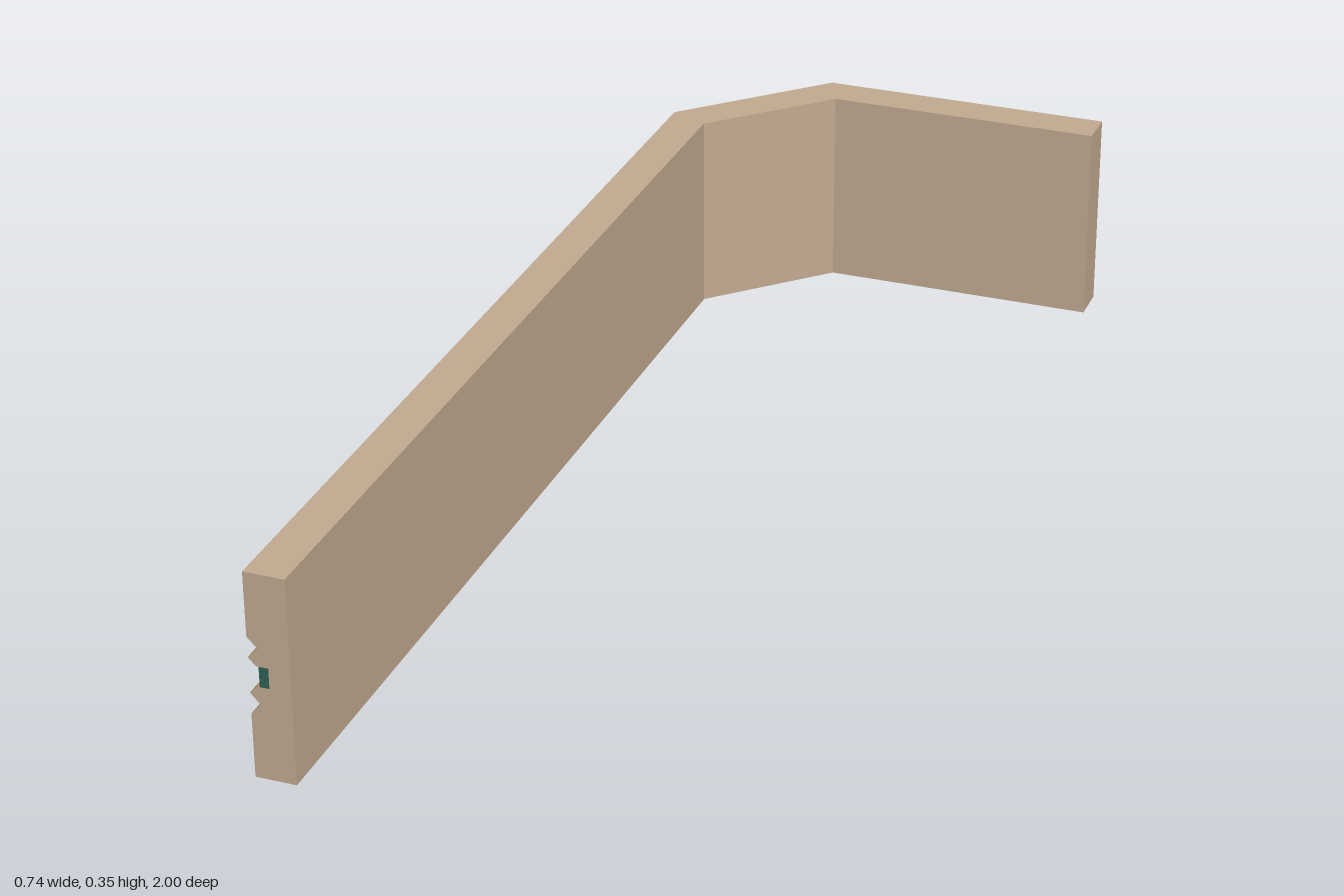
import * as THREE from 'three';

const TAN = 0xc3ab91, OCHRE = 0xc29c6c, TEAL = 0x2f6355;
const THICK = 0.069, HEIGHT = 0.353;
const END_X = 0.19; // the groove stops behind the medallion

// Plan path: outer and inner corner of the wall at each station, as [x, z]
const path = [
  { out: [-0.37, 1], inn: [-0.302, 1] },
  { out: [-0.37, -0.76], inn: [-0.302, -0.73] },
  { out: [-0.145, -0.987], inn: [-0.115, -0.918] },
  { out: [END_X, -0.987], inn: [END_X, -0.918] },
];

// A profile point is [depth from the outer face, height]
function place([d, y], { out, inn }) {
  const t = d / THICK;
  return [out[0] + (inn[0] - out[0]) * t, y, out[1] + (inn[1] - out[1]) * t];
}

// Sweep a profile along the path; cap is an optional outline closing the front end
function sweep(name, color, profiles, cap) {
  const pos = [];
  for (const prof of profiles) {
    for (let i = 0; i < prof.length - 1; i++) {
      for (let j = 0; j < path.length - 1; j++) {
        const a = place(prof[i], path[j]), b = place(prof[i], path[j + 1]);
        const c = place(prof[i + 1], path[j]), d = place(prof[i + 1], path[j + 1]);
        pos.push(...a, ...b, ...c, ...b, ...d, ...c);
      }
    }
  }
  if (cap) {
    const pts = cap.map(([d, y]) => new THREE.Vector2(d, y));
    for (const face of THREE.ShapeUtils.triangulateShape(pts, [])) {
      for (const k of face) pos.push(...place(cap[k], path[0]));
    }
  }
  const geo = new THREE.BufferGeometry();
  geo.setAttribute('position', new THREE.Float32BufferAttribute(pos, 3));
  geo.computeVertexNormals();
  return mesh(name, geo, color, THREE.DoubleSide);
}

function mesh(name, geo, color, side = THREE.FrontSide) {
  const m = new THREE.Mesh(geo, new THREE.MeshStandardMaterial({ color, side, flatShading: true }));
  m.name = name;
  return m;
}

// Square or corner-cut outline
function outline(Type, w, h, cut = 0) {
  const p = cut
    ? [[-w + cut, -h], [w - cut, -h], [w, -h + cut], [w, h - cut], [w - cut, h], [-w + cut, h], [-w, h - cut], [-w, -h + cut]]
    : [[-w, -h], [w, -h], [w, h], [-w, h]];
  return new Type(p.map(([x, y]) => new THREE.Vector2(x, y)));
}

// Bevelled frame whose top lies at z = top
function frame(name, color, shape, hole, bevel, top) {
  shape.holes.push(hole);
  const geo = new THREE.ExtrudeGeometry(shape, {
    depth: 0.001, bevelEnabled: true, bevelSegments: 1, bevelSize: bevel, bevelThickness: bevel,
  });
  geo.translate(0, 0, top - bevel - 0.001);
  return mesh(name, geo, color);
}

export function createModel() {
  const model = new THREE.Group();
  model.name = 'corneredWall';

  // Grooved wall: plain faces, with the channel cut into the outer side
  const upper = [[0, HEIGHT], [0, 0.243], [0.017, 0.226]];
  const upperRib = [[0.017, 0.226], [0, 0.208], [0.013, 0.195], [0.017, 0.195]];
  const slot = [[0.033, 0.195], [0.033, 0.16]];
  const lowerRib = [[0.017, 0.16], [0.013, 0.16], [0, 0.147], [0.017, 0.129]];
  const lower = [[0.017, 0.129], [0, 0.111], [0, 0], [THICK, 0], [THICK, HEIGHT], [0, HEIGHT]];
  const section = [...upper, ...upperRib.slice(1), ...slot, ...lowerRib, ...lower.slice(1, -1)];
  model.add(sweep('wall', TAN, [upper, lower], section));
  model.add(sweep('ribs', OCHRE, [upperRib, lowerRib]));

  // Inlaid strip between the ribs
  const strip = [[0.017, 0.195], [0.017, 0.16], [0.033, 0.16], [0.033, 0.195]];
  model.add(sweep('inlayStrip', TEAL, [[...strip, strip[0]]], strip));

  // Plain end of the wall beyond the groove
  const end = mesh('wallEnd', new THREE.BoxGeometry(0.37 - END_X, HEIGHT, THICK), TAN);
  end.position.set((0.37 + END_X) / 2, HEIGHT / 2, -0.9525);
  model.add(end);

  // Medallion on the back, closing the groove
  const medal = new THREE.Group();
  medal.name = 'medallion';
  medal.add(frame('medallionRim', OCHRE,
    outline(THREE.Shape, 0.058, 0.056, 0.017), outline(THREE.Path, 0.046, 0.046), 0.01, 0.013));
  const panel = mesh('medallionPanel', new THREE.BoxGeometry(0.096, 0.096, 0.02), TEAL);
  panel.position.z = -0.006;
  medal.add(panel);
  medal.add(frame('innerFrame', TAN,
    outline(THREE.Shape, 0.028, 0.028), outline(THREE.Path, 0.021, 0.021), 0.003, 0.011));
  const stud = mesh('centreStud', new THREE.CylinderGeometry(0.004, 0.018, 0.007, 4), OCHRE);
  stud.geometry.rotateY(Math.PI / 4).rotateX(Math.PI / 2);
  stud.position.z = 0.007;
  medal.add(stud);
  medal.position.set(0.193, 0.177, -0.987);
  medal.rotation.y = Math.PI;
  model.add(medal);

  return model;
}
